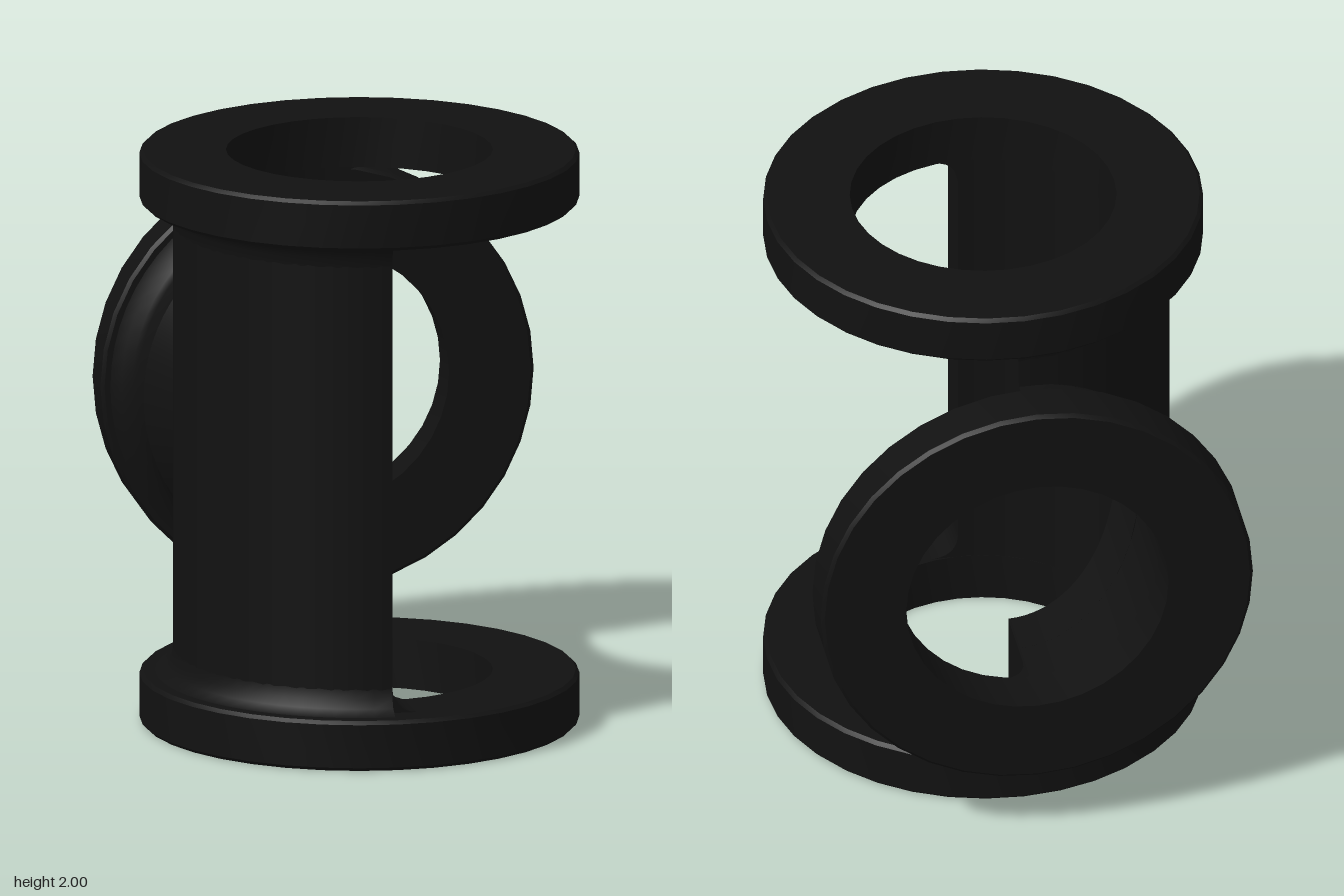
import * as THREE from 'three';
import { toCreasedNormals } from 'three/addons/utils/BufferGeometryUtils.js';
import { ParametricGeometry } from 'three/addons/geometries/ParametricGeometry.js';

const CZ = 0.115;      // z of the main pipe's axis
const BORE = 0.455, PIPE = 0.635, RIM = 0.75, T = 0.175;

export function createModel() {
  const model = new THREE.Group();
  const mat = new THREE.MeshStandardMaterial({ color: 0x111111, side: THREE.DoubleSide });

  const add = (name, geo, x = 0, y = 0, z = 0, rx = 0, sy = 1) => {
    const m = new THREE.Mesh(geo, mat);
    m.name = name;
    m.position.set(x, y, z);
    m.rotation.x = rx;
    m.scale.y = sy;
    model.add(m);
    return m;
  };
  // adds a part and its mirror image across the branch axis (y = 1)
  const addPair = (name, geo, z = 0) => {
    add(name + 'Lower', geo, 0, 0, z);
    add(name + 'Upper', geo, 0, 2, z, 0, -1);
  };
  const vecs = (pts) => pts.map(([a, b]) => new THREE.Vector2(a, b));
  const halfLathe = (pts) => toCreasedNormals(new THREE.LatheGeometry(vecs(pts), 32, Math.PI, Math.PI), 0.7);
  const patch = (f, nu, nv) => new ParametricGeometry((u, v, p) => p.set(...f(u, v)), nu, nv);

  // Full ring flanges with slightly broken edges
  const c = 0.012;
  const flange = toCreasedNormals(new THREE.LatheGeometry(vecs([
    [BORE, 0], [RIM - c, 0], [RIM, c], [RIM, T - c], [RIM - c, T], [BORE, T], [BORE, 0],
  ]), 36), 0.5);
  addPair('mainFlange', flange, CZ);
  add('branchFlange', flange, 0, 1, -0.865 + T, -Math.PI / 2);

  // Half pipe walls, open where the branch bore enters
  const wall = (R) => patch((u, v) => {
    const t = u * Math.PI;
    const x = -R * Math.sin(t);
    const h = t < Math.PI / 2 ? Math.sqrt(Math.max(0, BORE * BORE - x * x)) : 0;
    return [x, T + v * (1 - h - T), CZ - R * Math.cos(t)];
  }, 48, 8);
  addPair('pipeOuterWall', wall(PIPE));
  addPair('pipeInnerWall', wall(BORE));

  // Flared foot of the pipe at each flange
  addPair('pipeFillet', halfLathe([
    [PIPE, 0.26], [PIPE + 0.005, 0.225], [PIPE + 0.02, 0.195], [PIPE + 0.06, T],
  ]), CZ);

  // Branch neck, flaring into its flange
  add('branchNeck', halfLathe([
    [PIPE, 0.51], [PIPE, 0.63], [PIPE + 0.015, 0.655], [PIPE + 0.045, 0.68], [PIPE + 0.09, 0.692],
  ]), 0, 1, 0, -Math.PI / 2);

  // Tapered joint that runs from the neck into the pipe wall
  add('branchJoint', patch((u, v) => {
    const a = u * Math.PI;
    const zEnd = CZ - Math.sqrt(0.36 - 0.25 * Math.sin(a) ** 2);
    const z = -0.51 + v * (zEnd + 0.51);
    const r = PIPE - 0.55 * (z + 0.51);
    return [-r * Math.sin(a), 1 + r * Math.cos(a), z];
  }, 40, 6));

  // Branch bore, ending where it meets the main bore
  add('branchBore', patch((u, v) => {
    const a = u * Math.PI;
    const zEnd = CZ - BORE * Math.abs(Math.cos(a));
    return [-BORE * Math.sin(a), 1 + BORE * Math.cos(a), -0.7 + v * (zEnd + 0.7)];
  }, 48, 8));

  // Flat section faces in the plane x = 0 (shape x becomes -z)
  const section = (pts) => new THREE.ShapeGeometry(new THREE.Shape(vecs(pts))).rotateY(Math.PI / 2);
  const inB = BORE - CZ, outB = PIPE - CZ;
  const inF = -BORE - CZ, outF = -PIPE - CZ;
  addPair('frontSection', section([[outF, T], [inF, T], [inF, 1], [outF, 1]]));
  addPair('branchSection', section([
    [inB, T], [outB, T], [outB, 0.33], [outB + 0.012, 0.35], [outB + 0.06, 1 - PIPE],
    [0.63, 1 - PIPE], [0.65, 0.35], [0.68, 0.32], [0.692, 0.29], [0.692, 1 - BORE], [inB, 1 - BORE],
  ]));

  // Concave fillets from the section faces onto the flanges
  const s = new THREE.Shape();
  s.moveTo(0, 0);
  s.lineTo(0.09, 0);
  s.quadraticCurveTo(0.005, 0.005, 0, 0.085);
  s.closePath();
  const strip = toCreasedNormals(new THREE.ExtrudeGeometry(s, {
    depth: PIPE - BORE, bevelEnabled: false, curveSegments: 6,
  }), 0.6);
  for (const z of [CZ + BORE, CZ - PIPE]) {
    add('sectionFilletLower', strip, 0, T, z);
    add('sectionFilletUpper', strip, 0, 2 - T, z, 0, -1);
  }
  for (const y of [1 + PIPE, 1 - BORE]) {
    add('branchSectionFillet', strip, 0, y, -0.69, Math.PI / 2);
  }

  return model;
}
